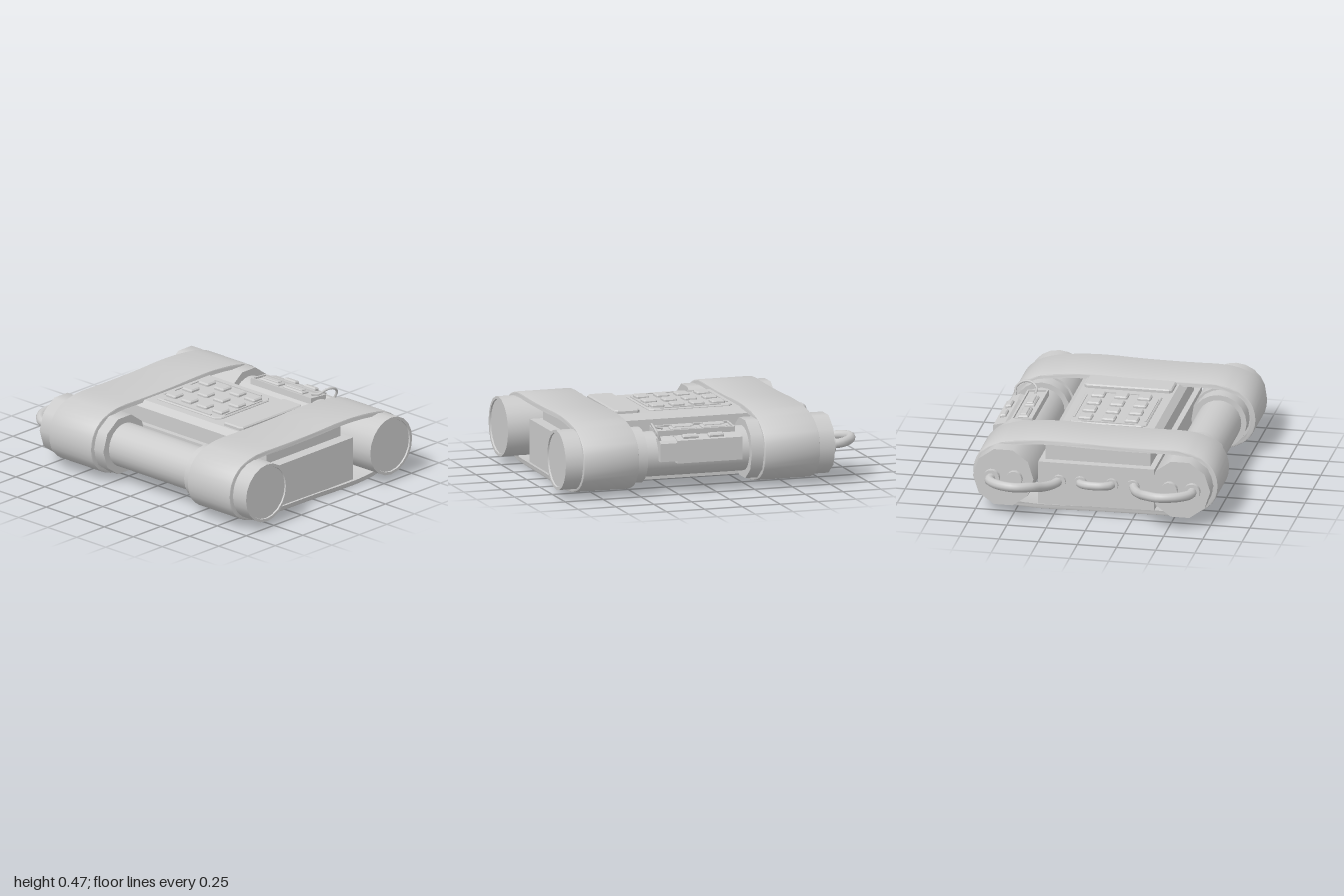
import * as THREE from 'three';
import { toCreasedNormals } from 'three/addons/utils/BufferGeometryUtils.js';

const grey = new THREE.MeshStandardMaterial({ color: 0xcccccc, side: THREE.DoubleSide });
const V = (x, y, z) => new THREE.Vector3(x, y, z);

export function createModel() {
  const model = new THREE.Group();
  const add = (name, geo, x = 0, y = 0, z = 0, parent = model) => {
    const m = new THREE.Mesh(geo, grey);
    m.name = name;
    m.position.set(x, y, z);
    parent.add(m);
    return m;
  };
  const box = (name, w, h, d, x, y, z, parent) => add(name, new THREE.BoxGeometry(w, h, d), x, y, z, parent);

  // Cylinder lying along x between two stations
  const rod = (name, r, x0, x1, y, z, sides = 24) => {
    const g = new THREE.CylinderGeometry(r, r, x1 - x0, sides);
    g.rotateZ(Math.PI / 2);
    return add(name, g, (x0 + x1) / 2, y, z);
  };

  // Side profile of (z, y) points extruded along x
  const extrudeX = (name, pts, x0, x1, bevel = 0, hole = null, crease = 0.5) => {
    const flip = (p) => new THREE.Vector2(-p[0], p[1]);
    const shape = new THREE.Shape(pts.map(flip));
    if (hole) shape.holes.push(new THREE.Path(hole.map(flip)));
    let g = new THREE.ExtrudeGeometry(shape, {
      depth: x1 - x0 - 2 * bevel, bevelEnabled: bevel > 0,
      bevelSize: bevel, bevelThickness: bevel, bevelOffset: -bevel, bevelSegments: 2
    });
    g.rotateY(Math.PI / 2);
    g = toCreasedNormals(g, crease);
    return add(name, g, x0 + bevel, 0, 0);
  };

  // Thin plate with cut corners, lying flat, with a small bevel
  const plate = (name, w, d, h, cut, x, y, z, parent) => {
    const a = w / 2, b = d / 2, s = new THREE.Shape();
    [[-a + cut, -b], [a - cut, -b], [a, -b + cut], [a, b - cut], [a - cut, b], [-a + cut, b], [-a, b - cut], [-a, -b + cut]]
      .forEach(([px, py], i) => (i ? s.lineTo(px, py) : s.moveTo(px, py)));
    const bv = Math.min(0.008, h / 2);
    const g = new THREE.ExtrudeGeometry(s, {
      depth: h - bv, bevelThickness: bv, bevelSize: bv, bevelOffset: -bv, bevelSegments: 1
    });
    g.rotateX(-Math.PI / 2);
    return add(name, g, x, y, z, parent);
  };
  const tube = (name, pts, r, seg = 28, sides = 10) =>
    add(name, new THREE.TubeGeometry(new THREE.CatmullRomCurve3(pts), seg, r, sides));

  // Main body: lower box and chamfered upper housing
  box('lowerBody', 1.51, 0.28, 0.74, 0.1, 0.17, 0);
  extrudeX('upperHousing', [[-0.335, 0.3], [0.335, 0.3], [0.335, 0.405], [0.295, 0.44], [-0.295, 0.44], [-0.335, 0.405]], -0.6, 0.78);

  // Front and rear cylinders with collars
  const cy = 0.236;
  for (const z of [0.56, -0.568]) {
    const side = z > 0 ? 'front' : 'rear';
    rod(side + 'Cylinder', 0.142, -0.5, 0.7, cy, z, 24);
    rod(side + 'RightCollar', 0.193, -0.78, -0.23, cy, z, 10);
    rod(side + 'LeftCollar', 0.176, 0.45, 0.6, cy, z, 20);
    // Left end tube: open rim with a slightly sunk end disc
    const pts = [[0, 0.44], [0.17, 0.44], [0.172, 0.45], [0.19, 0.45], [0.19, 0], [0, 0]]
      .reverse().map(([r, h]) => new THREE.Vector2(r, h));
    const g = toCreasedNormals(new THREE.LatheGeometry(pts, 20), 0.6);
    g.rotateZ(-Math.PI / 2);
    add(side + 'EndTube', g, 0.548, cy, z);
  }

  // Two straps wrapped around both cylinders
  const outline = [
    [0.78, 0.235], [0.757, 0.335], [0.7, 0.4], [0.62, 0.437], [0.52, 0.456], [0.3, 0.455], [0, 0.457], [-0.25, 0.465],
    [-0.45, 0.455], [-0.6, 0.43], [-0.7, 0.385], [-0.76, 0.32], [-0.78, 0.235], [-0.76, 0.145], [-0.7, 0.075],
    [-0.58, 0.025], [-0.4, 0.004], [0, 0.01], [0.35, 0.014], [0.56, 0.024], [0.68, 0.065], [0.755, 0.135]
  ];
  const loop = new THREE.CatmullRomCurve3(outline.map(([z, y]) => V(0, y, z)), true);
  const outer = [], inner = [];
  for (let i = 0; i < 56; i++) {
    const p = loop.getPoint(i / 56), t = loop.getTangent(i / 56);
    outer.push([p.z, p.y]);
    inner.push([p.z - t.y * 0.023, p.y + t.z * 0.023]);
  }
  extrudeX('rightStrap', outer, -0.675, -0.31, 0.008, inner, 0.7);
  extrudeX('leftStrap', outer, 0.52, 0.885, 0.008, inner, 0.7);

  // Keypad with raised frame edges and twelve keys
  plate('keypadPlate', 0.555, 0.49, 0.012, 0.03, -0.003, 0.438, -0.005);
  for (const s of [-1, 1]) {
    box('keypadRail', 0.4, 0.012, 0.012, -0.003, 0.45, -0.005 + s * 0.228);
    box('keypadRail', 0.012, 0.012, 0.34, -0.003 + s * 0.26, 0.45, -0.005);
  }
  for (let i = 0; i < 4; i++)
    for (let j = 0; j < 3; j++) {
      plate('key', 0.085, 0.085, 0.022, 0.008, -0.2 + i * 0.133, 0.447, -0.158 + j * 0.148);
    }

  // Flat panel beside the keypad
  plate('sidePanel', 0.168, 0.56, 0.026, 0.018, 0.428, 0.438, 0);

  // Instrument plate on top of the rear cylinder
  const gauge = new THREE.Group();
  gauge.name = 'rearInstrument';
  gauge.position.set(0.103, 0.375, -0.575);
  gauge.rotation.x = -0.08;
  model.add(gauge);
  box('instrumentBase', 0.52, 0.06, 0.135, 0, -0.02, 0, gauge);
  for (const s of [-1, 1]) {
    box('instrumentRim', 0.52, 0.014, 0.012, 0, 0.015, s * 0.062, gauge);
    box('instrumentRim', 0.012, 0.014, 0.135, s * 0.254, 0.015, 0, gauge);
  }
  for (const x of [-0.14, 0.065]) {
    plate('instrumentWindowFrame', 0.165, 0.065, 0.018, 0.004, x, 0.008, 0, gauge);
    plate('instrumentWindow', 0.135, 0.04, 0.008, 0.002, x, 0.026, 0, gauge);
  }

  // Control box on the back of the rear cylinder
  extrudeX('rearControlBox', [[-0.755, 0.2], [-0.66, 0.2], [-0.66, 0.355], [-0.68, 0.365], [-0.755, 0.345]], -0.17, 0.26);
  extrudeX('rearControlEnd', [[-0.75, 0.215], [-0.66, 0.215], [-0.66, 0.35], [-0.69, 0.358], [-0.735, 0.345], [-0.75, 0.33]], 0.25, 0.37);
  for (const x of [-0.005, 0.165]) plate('controlButton', 0.1, 0.04, 0.025, 0.004, x, 0.35, -0.715).rotation.x = -0.2;
  tube('thinWire', [V(0.36, 0.34, -0.72), V(0.385, 0.4, -0.72), V(0.395, 0.435, -0.67), V(0.385, 0.435, -0.62),
    V(0.36, 0.41, -0.585), V(0.3, 0.395, -0.58)], 0.008, 24, 6);

  // Sockets and cables on the right end
  for (const s of [-1, 1]) {
    rod('cableSocket', 0.052, -0.81, -0.77, cy, s * 0.64, 14);
    rod('spareSocket', 0.052, -0.81, -0.77, cy, s * 0.495, 14);
    tube('sideCable', [V(-0.78, cy, s * 0.64), V(-0.86, 0.24, s * 0.64), V(-0.94, 0.245, s * 0.57), V(-0.97, 0.245, s * 0.46),
      V(-0.92, 0.235, s * 0.37), V(-0.82, 0.205, s * 0.31), V(-0.72, 0.19, s * 0.26), V(-0.64, 0.19, s * 0.235)], 0.03);
    rod('bodySocket', 0.042, -0.675, -0.645, 0.19, s * 0.235, 14);
    rod('bodySocket', 0.042, -0.675, -0.645, 0.19, s * 0.1, 14);
  }
  tube('middleCable', [V(-0.64, 0.19, -0.1), V(-0.69, 0.195, -0.095), V(-0.725, 0.2, -0.05), V(-0.73, 0.2, 0.0),
    V(-0.725, 0.2, 0.05), V(-0.69, 0.195, 0.095), V(-0.64, 0.19, 0.1)], 0.026, 20);

  return model;
}
